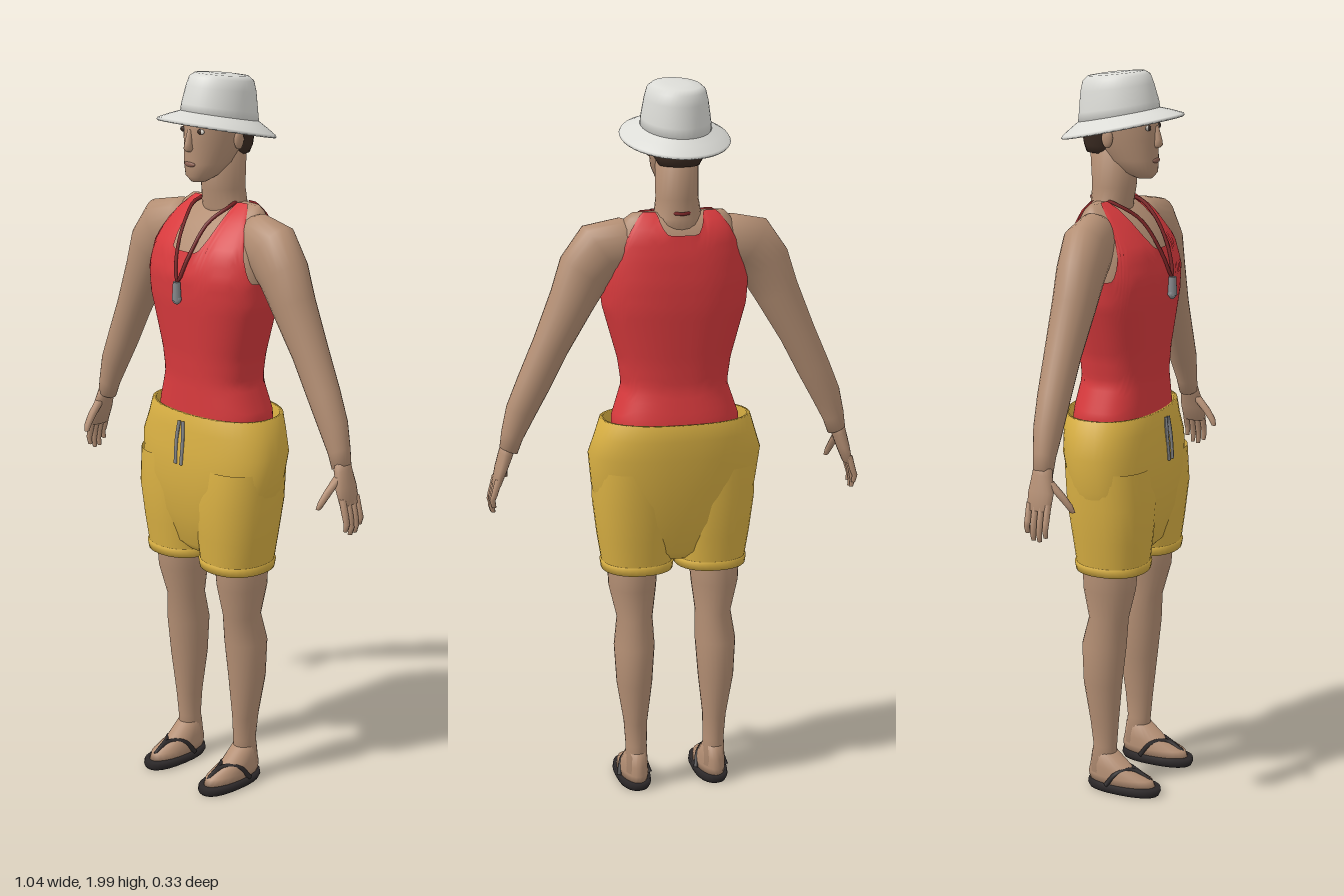
import * as THREE from 'three';

const mat = (name, color, both) => {
  const m = new THREE.MeshStandardMaterial({ color });
  m.name = name;
  if (both) m.side = THREE.DoubleSide;
  return m;
};

// A surface from rows of points; each row is a closed loop.
function skinRows(rows) {
  const n = rows[0].length, pos = [], idx = [];
  rows.forEach(r => r.forEach(p => pos.push(...p)));
  for (let j = 0; j < rows.length - 1; j++) for (let i = 0; i < n; i++) {
    const a = j * n + i, b = j * n + (i + 1) % n;
    idx.push(a, a + n, b, b, a + n, b + n);
  }
  const g = new THREE.BufferGeometry();
  g.setAttribute('position', new THREE.Float32BufferAttribute(pos, 3));
  g.setIndex(idx);
  g.computeVertexNormals();
  return g;
}

const pw = (v, e) => Math.sign(v) * Math.abs(v) ** e;

// Loft through rings, bottom to top: [x, y, z, rx, rz, roll, pitch].
function loft(rings, { n = 24, e = 1, caps = true } = {}) {
  const list = rings.slice();
  if (caps) {
    const end = r => [r[0], r[1], r[2], 0.0005, 0.0005, r[5], r[6]];
    list.unshift(end(rings[0]));
    list.push(end(rings[rings.length - 1]));
  }
  return skinRows(list.map(([x, y, z, rx, rz, roll = 0, pitch = 0]) =>
    Array.from({ length: n }, (_, i) => {
      const t = i / n * Math.PI * 2;
      const c = pw(Math.cos(t), e) * rx, s = pw(Math.sin(t), e) * rz;
      return [x + c * Math.cos(roll), y + c * Math.sin(roll) + pitch * s, z + s];
    })));
}

function mirrored(g) {
  const m = g.clone().scale(-1, 1, 1), ix = m.index.array;
  for (let i = 0; i < ix.length; i += 3) [ix[i], ix[i + 1]] = [ix[i + 1], ix[i]];
  m.computeVertexNormals();
  return m;
}

const ball = (x, y, z, sx, sy, sz) =>
  new THREE.SphereGeometry(1, 16, 10).scale(sx, sy, sz).translate(x, y, z);
const tube = (pts, r, closed = false) => new THREE.TubeGeometry(
  new THREE.CatmullRomCurve3(pts.map(p => new THREE.Vector3(...p)), closed), 40, r, 6, closed);

// Torso sections: y, half width, centre z, half depth
const TORSO = [
  [1.02, 0.165, 0, 0.11], [1.09, 0.168, 0, 0.108], [1.18, 0.138, 0.008, 0.098],
  [1.25, 0.148, 0.008, 0.102], [1.4, 0.19, 0.008, 0.118], [1.47, 0.195, 0.008, 0.12],
  [1.54, 0.185, 0, 0.108], [1.6, 0.165, -0.02, 0.078], [1.64, 0.142, -0.03, 0.042],
  [1.655, 0.125, -0.035, 0.015],
];
function torsoAt(y) {
  let i = 0;
  while (i < TORSO.length - 2 && y > TORSO[i + 1][0]) i++;
  const a = TORSO[i], b = TORSO[i + 1];
  const t = Math.min(1, Math.max(0, (y - a[0]) / (b[0] - a[0])));
  return a.map((v, k) => v + (b[k] - v) * t);
}

// Tank top: each column runs from the hem to the neckline, strap or armhole.
function tankGeometry() {
  const n = 96, m = 28, rows = [];
  for (let j = 0; j <= m; j++) rows.push(Array.from({ length: n }, (_, i) => {
    const t = i / n * Math.PI * 2, c = Math.cos(t), s = Math.sin(t), w = Math.abs(c);
    const scoop = s > 0 ? 1.535 : 1.6;
    const neck = THREE.MathUtils.smoothstep(w, 0.15, 0.46);
    const arm = THREE.MathUtils.smoothstep(w, 0.72, 0.96);
    const top = scoop + (1.658 - scoop) * neck - 0.19 * arm;
    const y = 1.06 + (top - 1.06) * j / m;
    const [, rx, z, rz] = torsoAt(y);
    return [pw(c, 0.85) * (rx + 0.007), y, z + pw(s, 0.85) * (rz + 0.007)];
  }));
  return skinRows(rows);
}

export function createModel() {
  const skin = mat('skin', 0xb48f74), red = mat('red cloth', 0xd83a3d, true);
  const yellow = mat('yellow cloth', 0xd9b043, true), felt = mat('hat felt', 0xdcdcd7, true);
  const hair = mat('hair', 0x3b2b22), black = mat('sandal black', 0x2b2728);
  const cord = mat('cord', 0x7a2526), metal = mat('grey metal', 0x85878a);
  const white = mat('eye white', 0xd8d2c8), lip = mat('lips', 0x8f6354);

  const root = new THREE.Group();
  root.name = 'figure';
  const add = (name, g, m) => {
    const o = new THREE.Mesh(g, m);
    o.name = name;
    root.add(o);
  };
  const pair = (name, g, m) => {
    add(name + 'Left', g, m);
    add(name + 'Right', mirrored(g), m);
  };

  // Torso and tank top
  add('torso', loft(TORSO.map(([y, rx, z, rz]) => [0, y, z, rx, rz]), { n: 48, e: 0.85 }), skin);
  add('tankTop', tankGeometry(), red);

  // Neck and head
  add('neck', loft([[0, 1.59, -0.035, 0.085, 0.055], [0, 1.64, -0.033, 0.065, 0.056],
    [0, 1.69, -0.026, 0.057, 0.06], [0, 1.8, -0.025, 0.057, 0.068]]), skin);
  add('head', loft([[0, 1.716, 0.062, 0.02, 0.022], [0, 1.732, 0.05, 0.04, 0.048],
    [0, 1.765, 0.025, 0.058, 0.074], [0, 1.82, 0, 0.069, 0.097], [0, 1.87, -0.006, 0.075, 0.104],
    [0, 1.92, -0.01, 0.072, 0.095], [0, 1.945, -0.01, 0.045, 0.06]], { n: 32 }), skin);
  add('hair', loft([[0, 1.78, -0.05, 0.054, 0.052], [0, 1.8, -0.045, 0.066, 0.063],
    [0, 1.85, -0.042, 0.075, 0.073], [0, 1.9, -0.04, 0.076, 0.073]]), hair);
  add('nose', loft([[0, 1.798, 0.097, 0.008, 0.01], [0, 1.806, 0.099, 0.013, 0.015],
    [0, 1.82, 0.099, 0.01, 0.013], [0, 1.855, 0.094, 0.006, 0.008]], { n: 10 }), skin);
  add('mouth', ball(0, 1.764, 0.096, 0.02, 0.007, 0.006), lip);
  pair('ear', ball(0.073, 1.825, -0.012, 0.009, 0.026, 0.016), skin);
  pair('eye', ball(0.032, 1.852, 0.087, 0.014, 0.007, 0.005), white);
  pair('iris', ball(0.032, 1.852, 0.09, 0.007, 0.007, 0.004), hair);
  pair('eyebrow', new THREE.BoxGeometry(0.034, 0.006, 0.006).rotateY(0.35)
    .translate(0.034, 1.871, 0.09), hair);

  // Hat, tipped down at the back
  add('hatCrown', loft([[0, 1.86, -0.012, 0.096, 0.114, 0, 0.2], [0, 1.9, -0.013, 0.092, 0.109, 0, 0.18],
    [0, 1.95, -0.018, 0.084, 0.1, 0, 0.14], [0, 1.976, -0.02, 0.077, 0.092, 0, 0.13],
    [0, 1.987, -0.021, 0.064, 0.077, 0, 0.12], [0, 1.99, -0.021, 0.03, 0.04, 0, 0.12]], { n: 40 }), felt);
  add('hatBrim', loft([[0, 1.868, -0.012, 0.09, 0.107, 0, 0.2], [0, 1.858, -0.006, 0.12, 0.138, 0, 0.21],
    [0, 1.844, -0.002, 0.144, 0.164, 0, 0.22], [0, 1.848, -0.002, 0.147, 0.167, 0, 0.22],
    [0, 1.853, -0.002, 0.144, 0.164, 0, 0.22], [0, 1.867, -0.006, 0.12, 0.138, 0, 0.21],
    [0, 1.88, -0.012, 0.092, 0.109, 0, 0.2]], { n: 40, caps: false }), felt);

  // Whistle on its cord
  const side = [[0.022, 1.52, 0.125], [0.042, 1.61, 0.072], [0.063, 1.652, 0.005]];
  const flip = side.map(([x, y, z]) => [-x, y, z]).reverse();
  add('whistleCord', tube([[0, 1.455, 0.143], ...side, [0, 1.655, -0.094], ...flip], 0.005, true), cord);
  add('whistle', new THREE.CylinderGeometry(0.01, 0.013, 0.05, 12).translate(0, 1.432, 0.145), metal);
  add('whistleTip', ball(0, 1.41, 0.145, 0.014, 0.014, 0.01), metal);

  // Shorts: open waist, two wide legs, rolled cuffs
  add('shortsSeat', loft([[0, 0.685, 0.02, 0.06, 0.06], [0, 0.71, 0.02, 0.13, 0.085],
    [0, 0.8, 0.018, 0.212, 0.112], [0, 0.9, 0.014, 0.23, 0.13], [0, 0.99, 0.004, 0.24, 0.135],
    [0, 1.045, -0.002, 0.222, 0.132], [0, 1.09, -0.004, 0.208, 0.13], [0, 1.09, -0.004, 0.198, 0.12],
    [0, 1.04, -0.002, 0.205, 0.12]], { n: 48, e: 0.88, caps: false }), yellow);
  pair('shortsLeg', loft([[0.104, 0.665, 0.02, 0.096, 0.098], [0.106, 0.75, 0.02, 0.108, 0.108],
    [0.11, 0.85, 0.018, 0.116, 0.12], [0.115, 0.95, 0.012, 0.112, 0.118]],
    { n: 32, e: 0.9, caps: false }), yellow);
  pair('shortsCuff', loft([[0.104, 0.665, 0.02, 0.086, 0.088], [0.104, 0.655, 0.02, 0.099, 0.1],
    [0.104, 0.676, 0.02, 0.102, 0.104], [0.104, 0.684, 0.02, 0.092, 0.094]],
    { n: 32, e: 0.9, caps: false }), yellow);
  pair('drawstring', tube([[0.007, 1.07, 0.131], [0.012, 1.02, 0.137], [0.011, 0.95, 0.143]], 0.005), metal);

  // Legs and feet
  pair('leg', loft([[0.113, 0.05, -0.008, 0.032, 0.038], [0.113, 0.13, -0.002, 0.03, 0.034],
    [0.115, 0.2, -0.003, 0.033, 0.041], [0.118, 0.32, -0.006, 0.05, 0.055],
    [0.117, 0.43, -0.002, 0.057, 0.063], [0.113, 0.51, 0.01, 0.05, 0.056],
    [0.118, 0.6, 0.015, 0.066, 0.074], [0.115, 0.78, 0.02, 0.078, 0.085]]), skin);
  pair('foot', loft([[0.113, 0.022, 0.052, 0.04, 0.1], [0.113, 0.045, 0.045, 0.041, 0.097],
    [0.113, 0.07, 0.018, 0.036, 0.064], [0.113, 0.11, -0.002, 0.03, 0.038]]), skin);
  pair('sandalSole', loft([[0.113, 0.002, 0.057, 0.044, 0.104], [0.113, 0.012, 0.057, 0.049, 0.109],
    [0.113, 0.026, 0.057, 0.047, 0.107]], { e: 0.85 }), black);
  pair('sandalStrap', tube([[0.068, 0.025, 0.02], [0.082, 0.062, 0.05], [0.108, 0.066, 0.09],
    [0.11, 0.04, 0.138], [0.116, 0.066, 0.09], [0.144, 0.062, 0.05], [0.158, 0.025, 0.02]], 0.007), black);

  // Arms from wrist to shoulder
  pair('arm', loft([[0.462, 1.02, -0.008, 0.026, 0.027, 0.4], [0.452, 1.06, -0.009, 0.031, 0.03, 0.42],
    [0.428, 1.125, -0.01, 0.041, 0.038, 0.42], [0.392, 1.2, -0.011, 0.046, 0.043, 0.44],
    [0.344, 1.3, -0.01, 0.05, 0.048, 0.46], [0.284, 1.42, -0.006, 0.062, 0.057, 0.48],
    [0.25, 1.495, -0.004, 0.074, 0.062, 0.6], [0.202, 1.55, -0.008, 0.086, 0.065, 0.95],
    [0.145, 1.56, -0.014, 0.08, 0.06, 1.45], [0.1, 1.56, -0.015, 0.065, 0.05, 1.57]]), skin);

  // Hands: palm, four fingers, thumb
  pair('palm', loft([[0.497, 0.925, -0.004, 0.012, 0.034, 0.3], [0.483, 0.97, -0.004, 0.017, 0.036, 0.35],
    [0.47, 1.01, -0.006, 0.02, 0.029, 0.4], [0.46, 1.04, -0.008, 0.021, 0.025, 0.4]], { n: 16 }), skin);
  [0.86, 0.848, 0.85, 0.868].forEach((tip, i) => {
    const z = 0.022 - i * 0.0175;
    pair('finger' + (i + 1), loft([[0.508, tip, z, 0.006, 0.006], [0.512, tip + 0.02, z, 0.008, 0.008],
      [0.507, 0.9, z, 0.009, 0.009], [0.494, 0.945, z, 0.01, 0.009]], { n: 8 }), skin);
  });
  pair('thumb', loft([[0.46, 0.922, 0.075, 0.007, 0.007], [0.464, 0.94, 0.066, 0.01, 0.011],
    [0.468, 0.965, 0.046, 0.011, 0.014], [0.472, 1.0, 0.012, 0.012, 0.016]], { n: 8 }), skin);

  return root;
}
